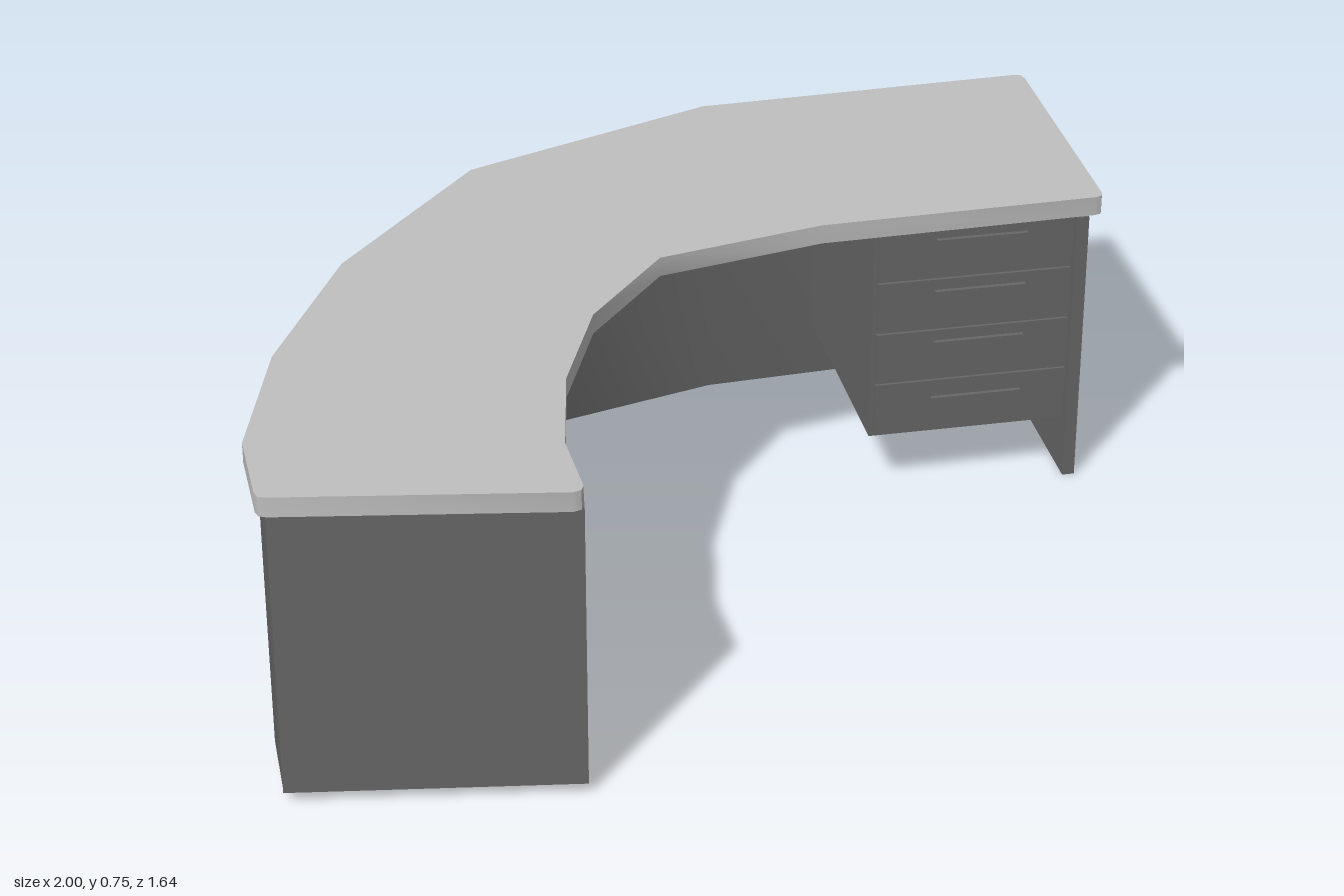
import * as THREE from 'three';
import { toCreasedNormals } from 'three/addons/utils/BufferGeometryUtils.js';

const lightGrey = new THREE.MeshStandardMaterial({ color: 0xc0c0c0 });
lightGrey.name = 'light grey worktop';
const darkGrey = new THREE.MeshStandardMaterial({ color: 0x676767 });
darkGrey.name = 'dark grey body';

// the worktop leans very slightly down towards +x
const under = (x) => 0.685 - 0.015 * x;

// upright slab over a plan outline of [x, z] points, between two height rules
function slab(name, points, bottom, top, material) {
  const shape = new THREE.Shape(points.map(([x, z]) => new THREE.Vector2(x, -z)));
  let geo = new THREE.ExtrudeGeometry(shape, { depth: 1, bevelEnabled: false });
  geo.rotateX(-Math.PI / 2);
  const p = geo.attributes.position;
  for (let i = 0; i < p.count; i++) {
    p.setY(i, p.getY(i) > 0.5 ? top(p.getX(i)) : bottom(p.getX(i)));
  }
  geo = toCreasedNormals(geo, 0.7);
  const mesh = new THREE.Mesh(geo, material);
  mesh.name = name;
  return mesh;
}

const rect = (x0, x1, z0, z1) => [[x0, z0], [x1, z0], [x1, z1], [x0, z1]];

// mitred copy of an open path, moved inwards by d
function inset(path, d) {
  const normal = (a, b) => new THREE.Vector2(b[1] - a[1], a[0] - b[0]).normalize();
  return path.map((pt, i) => {
    const n0 = normal(path[Math.max(i - 1, 0)], path[Math.max(i, 1)]);
    const last = path.length - 1;
    const n1 = normal(path[Math.min(i, last - 1)], path[Math.min(i + 1, last)]);
    const m = n0.clone().add(n1).normalize();
    const k = d / m.dot(n0);
    return [pt[0] + m.x * k, pt[1] + m.y * k];
  });
}

export function createModel() {
  const desk = new THREE.Group();
  desk.name = 'curvedDesk';

  // curved worktop with clipped corners
  const outline = [
    [-1, 0.51], [-0.9, 0.18], [-0.705, -0.19], [-0.36, -0.575], [0.22, -0.795],
    [0.98, -0.825], [0.995, -0.82], [1, -0.805],
    [1, -0.205], [0.995, -0.192], [0.98, -0.187],
    [0.35, -0.17], [-0.03, -0.09], [-0.22, 0.13], [-0.325, 0.38], [-0.375, 0.63],
    [-0.37, 0.795], [-0.377, 0.81], [-0.395, 0.815],
    [-0.98, 0.722], [-0.995, 0.715], [-1, 0.7],
  ];
  desk.add(slab('worktop', outline, under, (x) => under(x) + 0.045, lightGrey));

  // curved back panel with an uneven lower edge
  const back = [
    [0.965, -0.8], [0.22, -0.765], [-0.345, -0.55], [-0.68, -0.175],
    [-0.87, 0.19], [-0.975, 0.52], [-0.98, 0.7],
  ];
  const edge = [[-0.98, 0.03], [-0.68, 0.03], [-0.345, 0.06], [0.22, 0.01], [0.965, 0.003]];
  const lowerEdge = (x) => {
    let i = 0;
    while (i < edge.length - 2 && x > edge[i + 1][0]) i++;
    const t = THREE.MathUtils.clamp((x - edge[i][0]) / (edge[i + 1][0] - edge[i][0]), 0, 1);
    return THREE.MathUtils.lerp(edge[i][1], edge[i + 1][1], t);
  };
  const backPlan = [...back, ...inset(back, 0.025).reverse()];
  desk.add(slab('backPanel', backPlan, lowerEdge, under, darkGrey));

  // end panels
  desk.add(slab('leftHandEndPanel', rect(0.938, 0.966, -0.797, -0.182), () => 0, under, darkGrey));
  desk.add(slab('rightHandEndPanel',
    [[-0.981, 0.703], [-0.37, 0.803], [-0.366, 0.777], [-0.977, 0.677]],
    () => 0.028, under, darkGrey));

  // drawer pedestal
  const pedestal = new THREE.Group();
  pedestal.name = 'drawerPedestal';
  const lean = (y) => (x) => y - 0.015 * (x - 0.7);
  pedestal.add(slab('pedestalCase', rect(0.48, 0.94, -0.785, -0.212), lean(0.142), under, darkGrey));
  const handleHeights = [0.235, 0.38, 0.51, 0.64];
  const splits = [0.15, 0.283, 0.413, 0.543, 0.672];
  handleHeights.forEach((y, i) => {
    pedestal.add(slab('drawerFront', rect(0.49, 0.936, -0.212, -0.202),
      lean(splits[i]), lean(splits[i + 1] - 0.004), darkGrey));
    pedestal.add(slab('drawerHandle', rect(0.62, 0.83, -0.203, -0.192),
      lean(y - 0.003), lean(y + 0.003), darkGrey));
  });
  desk.add(pedestal);

  return desk;
}
